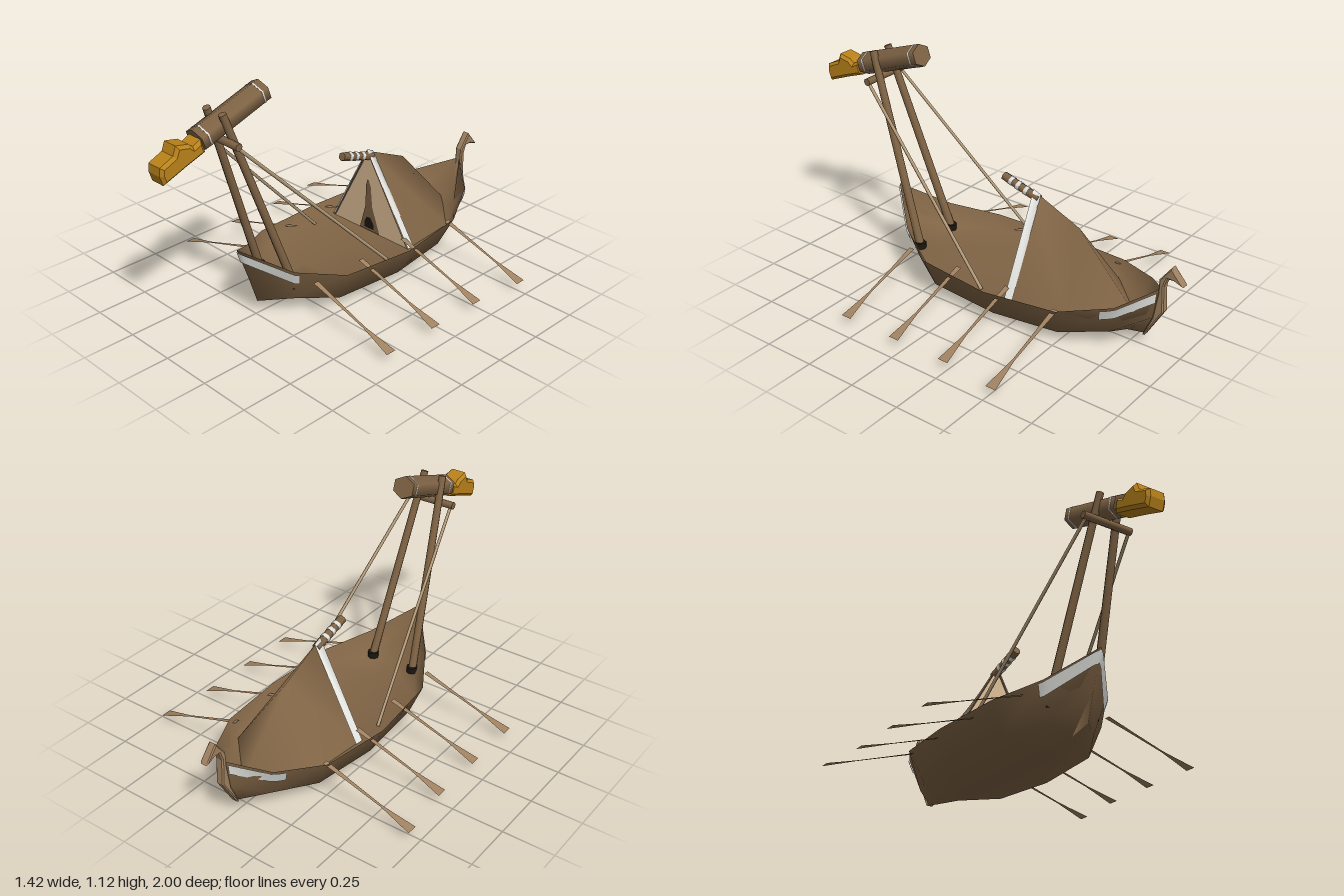
import * as THREE from 'three';
import { mergeVertices } from 'three/addons/utils/BufferGeometryUtils.js';

const mat = (name, color) => new THREE.MeshStandardMaterial({ name, color, side: THREE.DoubleSide });
const V = (x, y, z) => new THREE.Vector3(x, y, z);
const DECK_Y = 0.14;

// Hull stations, bow to stern: sheer x,y,z / chine x,y,z / keel y,z
const STATIONS = [
  [0, 0.37, 0.597, 0, 0.2, 0.535, 0.065, 0.49],
  [0.165, 0.25, 0.41, 0.12, 0.08, 0.37, 0.042, 0.38],
  [0.287, 0.202, 0.205, 0.225, 0.052, 0.19, 0.013, 0.22],
  [0.32, 0.19, -0.17, 0.25, 0.045, -0.17, 0.003, -0.17],
  [0.28, 0.205, -0.53, 0.21, 0.052, -0.5, 0.018, -0.55],
  [0.16, 0.247, -0.75, 0.115, 0.09, -0.71, 0.05, -0.73],
  [0.01, 0.315, -0.88, 0.008, 0.17, -0.865, 0.068, -0.825],
];

// Smooth surface through rows of points
function loft(rows) {
  const n = rows[0].length, pos = [], idx = [];
  rows.forEach(r => r.forEach(p => pos.push(p.x, p.y, p.z)));
  for (let i = 0; i < rows.length - 1; i++) for (let j = 0; j < n - 1; j++) {
    const a = i * n + j, b = a + n;
    idx.push(a, a + 1, b, b, a + 1, b + 1);
  }
  const g = new THREE.BufferGeometry();
  g.setAttribute('position', new THREE.Float32BufferAttribute(pos, 3));
  g.setIndex(idx);
  const merged = mergeVertices(g, 1e-4);
  merged.computeVertexNormals();
  return merged;
}

// Point on the hull side: u runs along the stations, t from sheer to chine
function hullPoint(u, t, side, lift) {
  const i = Math.min(Math.floor(u), STATIONS.length - 2);
  const c = STATIONS[i].map((v, k) => v + (STATIONS[i + 1][k] - v) * (u - i));
  const p = V(c[0], c[1], c[2]).lerp(V(c[3], c[4], c[5]), t);
  return V(side * Math.max(0, p.x + lift), p.y, p.z + (u < 3 ? lift : -lift));
}

// Round or faceted bar between two points
function bar(a, b, r, sides = 8, r2 = r) {
  const g = new THREE.CylinderGeometry(r2, r, a.distanceTo(b), sides);
  g.applyQuaternion(new THREE.Quaternion().setFromUnitVectors(V(0, 1, 0), b.clone().sub(a).normalize()));
  const c = a.clone().add(b).multiplyScalar(0.5);
  return g.translate(c.x, c.y, c.z);
}

// Side outline given as z,y pairs, with thickness across x
function sideProfile(points, width, bevel) {
  const shape = new THREE.Shape(points.map(p => new THREE.Vector2(p[0], p[1])));
  const depth = width - 2 * bevel;
  const g = new THREE.ExtrudeGeometry(shape, {
    depth, bevelSize: bevel, bevelOffset: -bevel, bevelThickness: bevel, bevelSegments: 1,
  });
  return g.translate(0, 0, -depth / 2).rotateY(-Math.PI / 2);
}

export function createModel() {
  const wood = mat('wood', 0x806445);
  const paleWood = mat('paleWood', 0xa08261);
  const cord = mat('cord', 0xb59c7a);
  const cloth = mat('tentLining', 0xe3c49c);
  const white = mat('whitePaint', 0xe4e4e0);
  const gold = mat('gold', 0xba821a);
  const dark = mat('darkRecess', 0x1c1610);
  const model = new THREE.Group();
  const add = (name, geo, material) => {
    const m = new THREE.Mesh(geo, material);
    m.name = name;
    model.add(m);
  };

  // Hull shell, and a sunken deck with bulwarks
  add('hull', loft(STATIONS.map(s => [
    V(s[0], s[1], s[2]), V(s[3], s[4], s[5]), V(0, s[6], s[7]), V(-s[3], s[4], s[5]), V(-s[0], s[1], s[2]),
  ])), wood);
  add('deck', loft(STATIONS.map((s, i) => {
    const t = Math.min(1, (s[1] - DECK_Y) / (s[1] - s[4]));
    const left = hullPoint(i, t, 1, -0.008), right = hullPoint(i, t, -1, -0.008);
    return [V(-s[0], s[1], s[2]), right, V(0, left.y, left.z), left, V(s[0], s[1], s[2])];
  })), wood);

  // Stern post with a beaked head
  add('sternPost', sideProfile([[-0.815, 0.065], [-0.825, 0.065], [-0.912, 0.215], [-0.905, 0.34],
    [-0.92, 0.385], [-0.95, 0.385], [-0.998, 0.37], [-0.937, 0.445], [-0.882, 0.37], [-0.88, 0.3], [-0.86, 0.17]],
  0.04, 0.006), paleWood);

  // Tent standing on the deck, with a white band round its mouth
  const ridge = [V(0, 0.58, -0.21), V(0, 0.47, -0.46), V(0, 0.125, -0.78)];
  const hem = [V(0.245, 0.14, -0.235), V(0.215, 0.14, -0.55), V(0, 0.125, -0.78)];
  const flip = p => V(-p.x, p.y, p.z);
  add('tent', loft(ridge.map((p, i) => [hem[i], p, flip(hem[i])])), wood);
  add('tentBand', loft([0, 0.16].map(u => {
    const top = ridge[0].clone().lerp(ridge[1], u).add(V(0, 0.008, 0));
    const foot = hem[0].clone().lerp(hem[1], u * 0.8).add(V(0.007, 0.004, 0));
    return [foot, top, flip(foot)];
  })), white);

  // Lining with a flared entrance, each layer slightly further forward
  const lining = (steps, lift) => loft(steps.map(([y, w]) => {
    const z = -0.217 - 0.023 * (0.57 - y) / 0.43 + lift;
    return [V(-w, y, z), V(w, y, z)];
  }));
  add('tentFront', lining([[0.57, 0], [0.14, 0.24]], 0), cloth);
  add('tentEntrance', lining([[0.425, 0.004], [0.39, 0.016], [0.28, 0.022], [0.145, 0.065]], 0.005), wood);
  add('entranceGap', lining([[0.22, 0.012], [0.19, 0.03], [0.16, 0.03]], 0.009), dark);

  // White paint meeting at the bow
  const bowRows = [];
  for (let k = -12; k <= 12; k++) {
    const u = Math.abs(k) / 12 * 1.1;
    bowRows.push([hullPoint(u, 0.07, Math.sign(k), 0.006), hullPoint(u, 0.4, Math.sign(k), 0.006)]);
  }
  add('bowStripe', loft(bowRows), white);

  for (const s of [1, -1]) {
    // White paint at the stern
    const sternRows = [];
    for (let k = 0; k <= 8; k++) {
      const u = 4.75 + 1.2 * k / 8;
      sternRows.push([hullPoint(u, 0.06, s, 0.006), hullPoint(u, 0.42, s, 0.006)]);
    }
    add('sternStripe', loft(sternRows), white);

    // Flat oars, narrow at the neck and flared at the blade
    for (const [z, extra] of [[-0.51, 0.03], [-0.23, 0], [0.05, 0], [0.335, 0]]) {
      const rows = [[0.22, 0.014], [0.35, 0.009], [0.52, 0.006], [0.58, 0.013], [0.68, 0.026]].map(([x, w]) => {
        const y = 0.045 + 0.32 * (0.68 - x);
        return [V(s * (x + extra), y, z - s * w), V(s * (x + extra), y, z + s * w)];
      });
      add('oar', loft(rows), paleWood);
    }

    // Raking legs with deck sockets, and stay ropes
    add('frameLeg', bar(V(s * 0.118, 0.14, 0.367), V(s * 0.05, 1.055, 0.685), 0.02, 8, 0.018), wood);
    add('legSocket', new THREE.CylinderGeometry(0.027, 0.027, 0.03, 8).translate(s * 0.116, 0.155, 0.37), dark);
    add('stayRope', bar(V(s * 0.115, 0.915, 0.66), V(s * 0.243, 0.14, -0.1), 0.008, 6), cord);
  }

  // Ridge pole with white rings
  const poleA = V(0, 0.545, -0.24), poleB = V(0, 0.605, -0.045);
  add('ridgePole', bar(poleA, poleB, 0.021, 6), wood);
  for (const t of [0.3, 0.52, 0.72]) add('poleRing',
    bar(poleA.clone().lerp(poleB, t), poleA.clone().lerp(poleB, t + 0.09), 0.023, 6), white);

  // Cross bar and hanging log
  add('crossBar', bar(V(-0.13, 0.928, 0.665), V(0.125, 0.925, 0.665), 0.018), wood);
  const back = V(0, 1.076, 0.43), front = V(0, 0.955, 0.785);
  add('ramLog', bar(back, front, 0.054, 6).scale(1.12, 1, 1), wood);
  for (const t of [0.08, 0.9]) add('logRing',
    bar(back.clone().lerp(front, t), back.clone().lerp(front, t + 0.018), 0.0555, 6).scale(1.12, 1, 1), white);

  // Golden beast head: heavy muzzle and a raised brow
  add('ramHead', sideProfile([[0.77, 0.912], [0.87, 0.877], [0.985, 0.833], [1.0, 0.877], [0.998, 0.915],
    [0.93, 0.945], [0.915, 0.985], [0.85, 0.972], [0.83, 0.955], [0.79, 0.975]], 0.1, 0.014), gold);
  return model;
}
